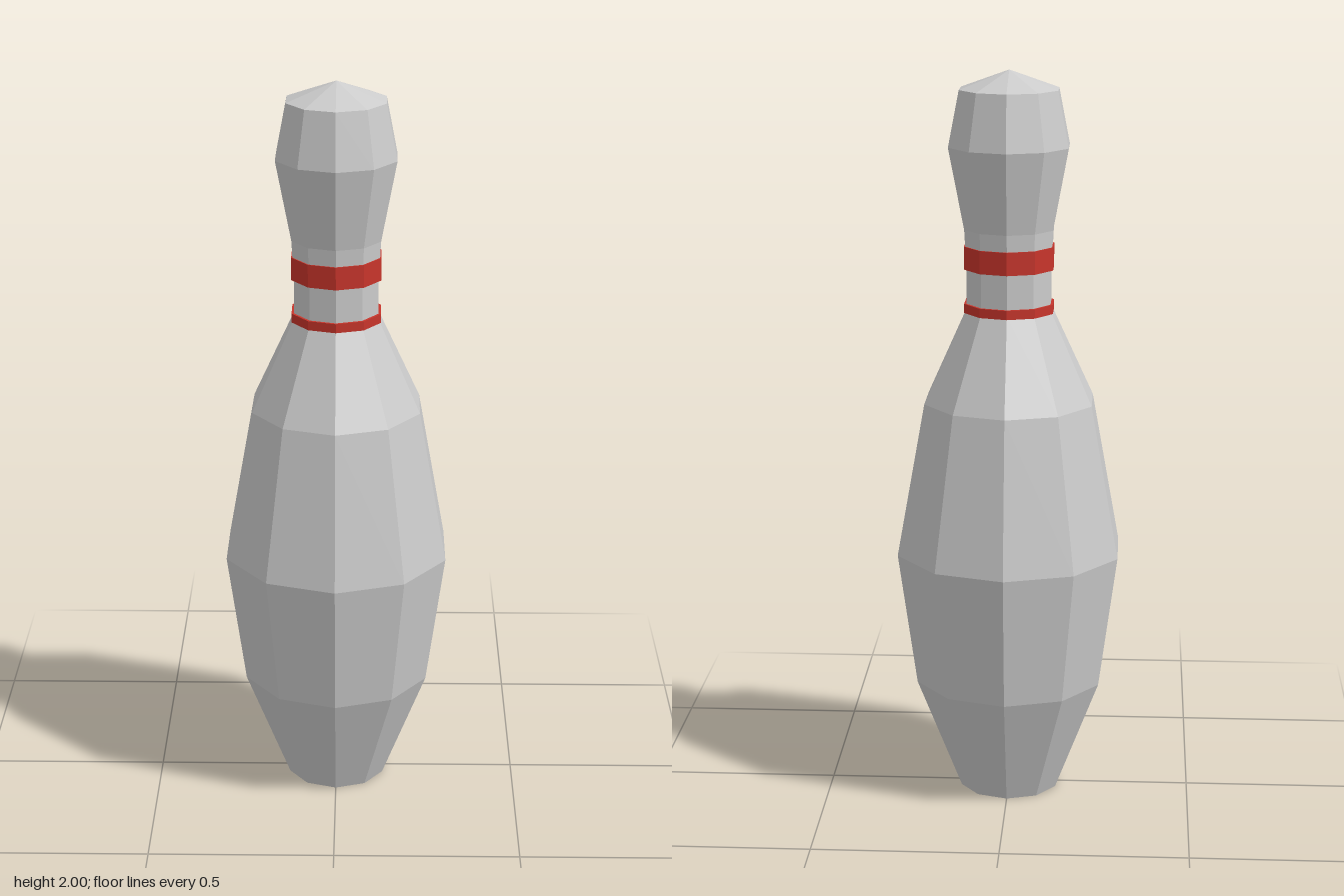
import * as THREE from 'three';

const SIDES = 10;

// Faceted ring or solid turned from a [radius, height] profile, bottom to top
function turned(name, profile, color) {
  const points = profile.map(([r, y]) => new THREE.Vector2(r, y));
  const mesh = new THREE.Mesh(
    new THREE.LatheGeometry(points, SIDES),
    new THREE.MeshStandardMaterial({ color, flatShading: true })
  );
  mesh.name = name;
  return mesh;
}

// Thin raised stripe around the neck
function stripe(name, bottom, top) {
  const inner = 0.11, outer = 0.125;
  return turned(name, [[inner, bottom], [outer, bottom], [outer, top], [inner, top]], 0xc8352b);
}

export function createModel() {
  const pin = new THREE.Group();
  pin.name = 'bowlingPin';

  // Body with flat base, belly, narrow neck and low pointed crown
  pin.add(turned('body', [
    [0, 0],
    [0.138, 0],
    [0.263, 0.32],
    [0.315, 0.69],
    [0.237, 1.11],
    [0.118, 1.365],
    [0.118, 1.47],
    [0.124, 1.58],
    [0.167, 1.8],
    [0.137, 1.95],
    [0, 2],
  ], 0xcccccc));

  // Neck stripes
  pin.add(stripe('lowerStripe', 1.355, 1.38));
  pin.add(stripe('upperStripe', 1.473, 1.535));

  return pin;
}
